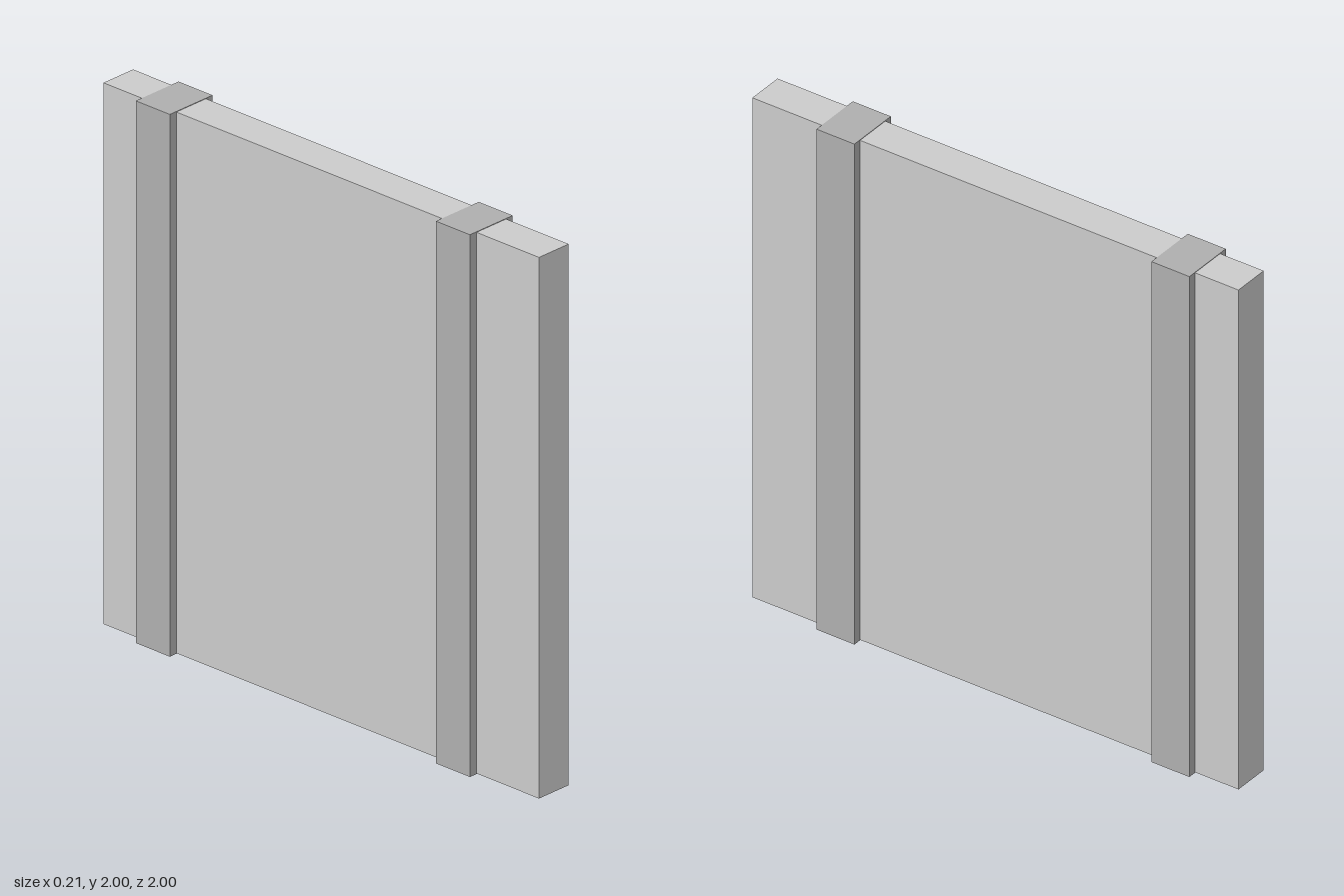
import * as THREE from 'three';

export function createModel() {
  const model = new THREE.Group();
  const panelMaterial = new THREE.MeshStandardMaterial({ color: 0xcccccc, flatShading: true });
  const bandMaterial = new THREE.MeshStandardMaterial({ color: 0xafafaf, flatShading: true });

  function addBox(name, width, height, depth, z, material) {
    const mesh = new THREE.Mesh(new THREE.BoxGeometry(width, height, depth), material);
    mesh.name = name;
    mesh.position.set(0, 1, z);
    model.add(mesh);
  }

  // Upright slab, a hair shorter than the bands so their end faces stay clean
  addBox('panel', 0.144, 1.996, 2, 0, panelMaterial);

  // Vertical bands wrapped around the slab
  addBox('frontBand', 0.208, 2, 0.156, 0.635, bandMaterial);
  addBox('backBand', 0.208, 2, 0.156, -0.743, bandMaterial);

  return model;
}
